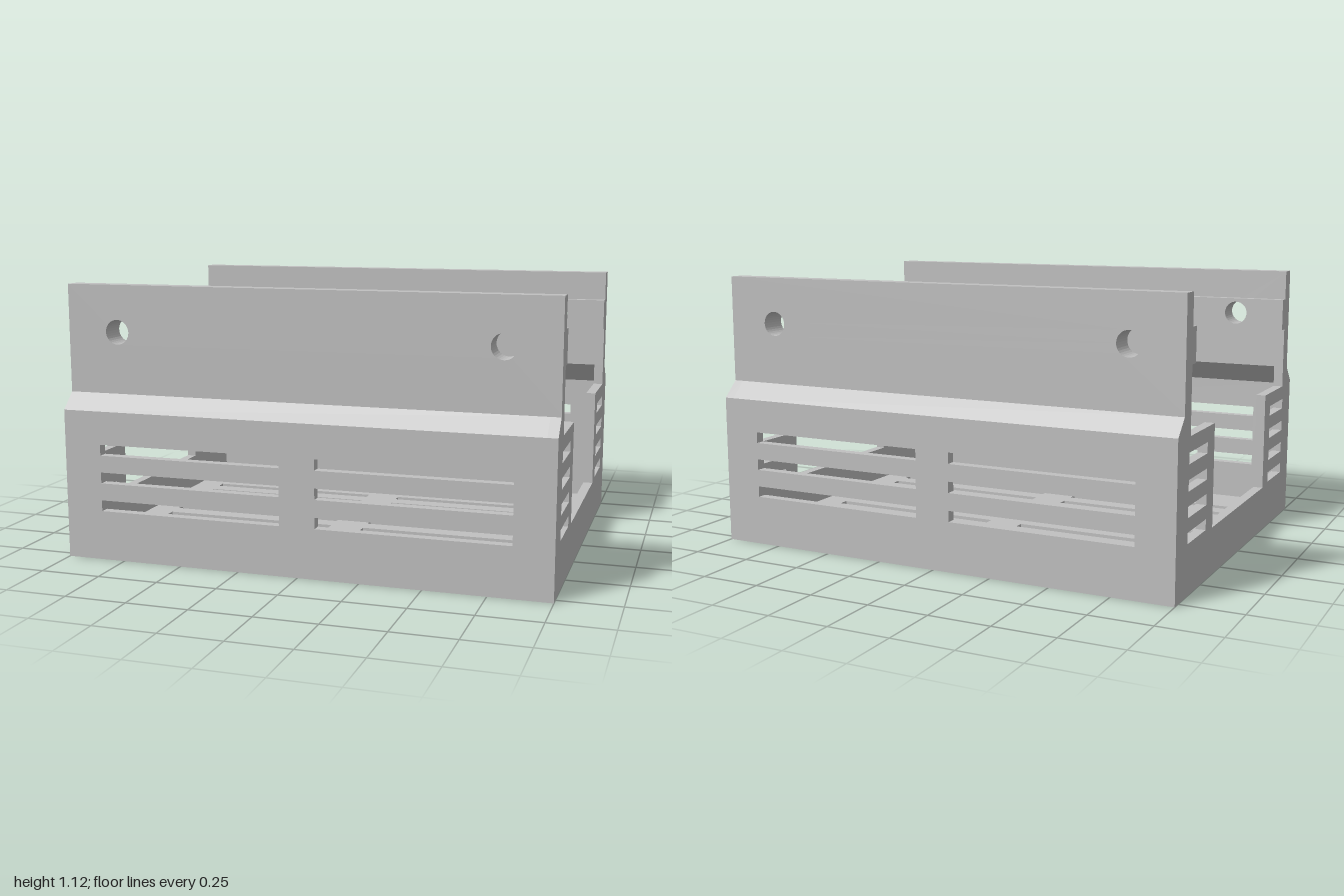
import * as THREE from 'three';

const HALF_X = 1, HALF_Z = 0.787, WALL = 0.04;
const INNER_X = HALF_X - WALL, INNER_Z = HALF_Z - WALL;

const polygon = (pts) => new THREE.Shape(pts.map(([x, y]) => new THREE.Vector2(x, y)));
const rect = (x0, y0, x1, y1) => polygon([[x0, y0], [x1, y0], [x1, y1], [x0, y1]]);
const extrude = (shape, depth) =>
  new THREE.ExtrudeGeometry(shape, { depth, bevelEnabled: false, curveSegments: 16 });

// Cuts a mirrored pair of slots, one on each side of the centre line
function cutSlotPair(shape, inner, outer, y0, y1) {
  shape.holes.push(rect(inner, y0, outer, y1), rect(-outer, y0, -inner, y1));
}

// Cuts the two round mounting holes
function cutScrewHoles(shape) {
  for (const x of [-0.785, 0.785]) {
    shape.holes.push(new THREE.Path().absarc(x, 0.93, 0.05, 0, Math.PI * 2, true));
  }
}

export function createModel() {
  const model = new THREE.Group();
  model.name = 'ventilatedTray';
  const grey = new THREE.MeshStandardMaterial({ color: 0xc0c0c0 });
  grey.name = 'grey';

  const add = (parent, name, geometry) => {
    const mesh = new THREE.Mesh(geometry, grey);
    mesh.name = name;
    parent.add(mesh);
  };

  // Slotted floor
  const floor = rect(-INNER_X, -INNER_Z, INNER_X, INNER_Z);
  for (let i = 0; i < 10; i++) {
    const z = (i - 4.5) * 0.115;
    cutSlotPair(floor, 0.073, 0.843, z - 0.022, z + 0.022);
  }
  add(model, 'floor', extrude(floor, WALL).rotateX(-Math.PI / 2));

  // Notched end walls, with cheeks that close the ends of the shoulders
  const half = [[HALF_Z, 0], [HALF_Z, 0.615], [0.72, 0.68], [0.72, 0.69], [0.65, 0.69],
    [0.65, 0.6], [0.362, 0.6], [0.362, 0.19]];
  const end = polygon([...half, ...half.map(([u, y]) => [-u, y]).reverse()]);
  for (const y of [0.2, 0.298, 0.397, 0.498]) cutSlotPair(end, 0.445, 0.66, y, y + 0.043);
  for (const [name, x] of [['leftEndWall', INNER_X], ['rightEndWall', -HALF_X]]) {
    add(model, name, extrude(end, WALL).rotateY(Math.PI / 2).translate(x, 0, 0));
  }

  // Long walls: built at the back, turned round for the front
  for (const [name, turn] of [['backWall', 0], ['frontWall', Math.PI]]) {
    const wall = new THREE.Group();
    wall.name = name;
    wall.rotation.y = turn;
    model.add(wall);

    const panel = rect(-INNER_X, 0, INNER_X, 0.6);
    for (const y of [0.203, 0.319, 0.434]) cutSlotPair(panel, 0.073, 0.843, y, y + 0.045);
    add(wall, 'slottedPanel', extrude(panel, WALL).translate(0, 0, -HALF_Z));

    // Sloped step between the lower panel and the upper plate
    const shoulder = polygon([[INNER_Z, 0.6], [HALF_Z, 0.6], [HALF_Z, 0.615],
      [0.72, 0.68], [0.72, 0.69], [0.65, 0.69]]);
    add(wall, 'shoulder',
      extrude(shoulder, 2 * INNER_X).rotateY(Math.PI / 2).translate(-INNER_X, 0, 0));

    const plate = rect(-HALF_X, 0.69, HALF_X, 1.12);
    cutScrewHoles(plate);
    add(wall, 'upperPlate', extrude(plate, 0.07).translate(0, 0, -0.72));

    const rail = rect(-HALF_X, 0.86, HALF_X, 0.995);
    cutScrewHoles(rail);
    add(wall, 'innerRail', extrude(rail, 0.04).translate(0, 0, -0.65));
  }

  return model;
}
